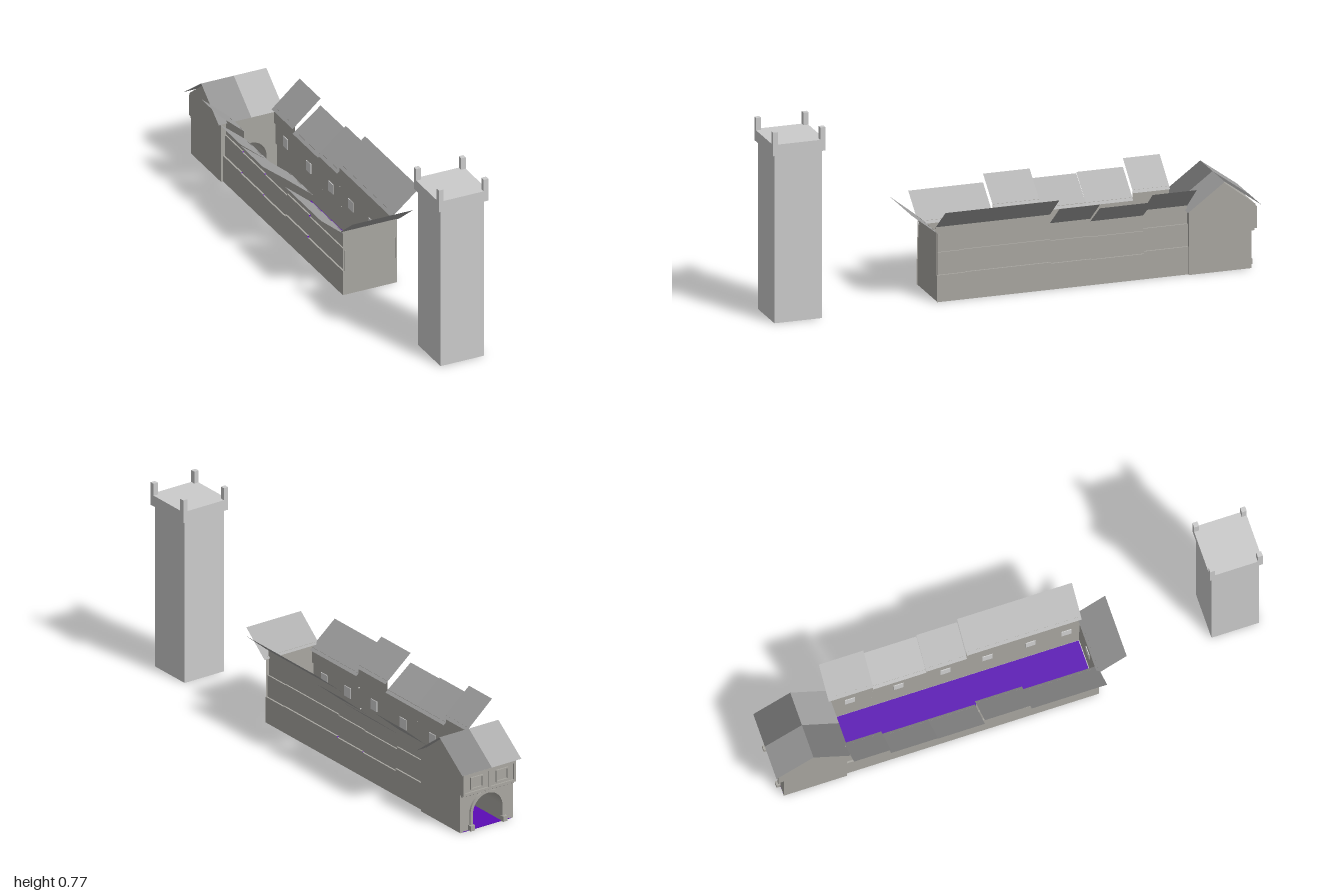
import * as THREE from 'three';

export function createModel() {
  const model = new THREE.Group();
  const mat = (name, color, extra = {}) => {
    const m = new THREE.MeshStandardMaterial({ color, side: THREE.DoubleSide, ...extra });
    m.name = name;
    return m;
  };
  const wall = mat('warm grey wall', 0xa9a7a1);
  const roof = mat('mid grey roof', 0xa0a0a0);
  const darkRoof = mat('dark grey roof', 0x757575);
  const stone = mat('pale tower stone', 0xcbcbcb, { flatShading: true });
  const paving = mat('purple paving', 0x5b0cb5);
  const pane = mat('light window', 0xd2d2d2);

  const add = (name, geo, material, parent = model) => {
    const mesh = new THREE.Mesh(geo, material);
    mesh.name = name;
    parent.add(mesh);
    return mesh;
  };
  // Box given by its limits on each axis
  const box = (name, material, x0, x1, y0, y1, z0, z1, parent) => {
    const g = new THREE.BoxGeometry(x1 - x0, y1 - y0, z1 - z0);
    g.translate((x0 + x1) / 2, (y0 + y1) / 2, (z0 + z1) / 2);
    return add(name, g, material, parent);
  };
  // Flat four-cornered sheet
  const sheet = (name, material, a, b, c, d, parent) => {
    const g = new THREE.BufferGeometry();
    g.setAttribute('position', new THREE.Float32BufferAttribute([a, b, c, a, c, d].flat(), 3));
    g.computeVertexNormals();
    return add(name, g, material, parent);
  };

  // Free-standing tower with open base, cap and corner posts
  const tower = new THREE.Group();
  tower.name = 'tower';
  model.add(tower);
  const shaft = new THREE.CylinderGeometry(Math.SQRT1_2, Math.SQRT1_2, 0.68, 4, 1, true);
  shaft.rotateY(Math.PI / 4);
  shaft.scale(0.187, 1, 0.193);
  shaft.translate(0.056, 0.34, 0.893);
  add('towerShaft', shaft, stone, tower);
  box('towerCap', stone, -0.05, 0.163, 0.68, 0.725, 0.787, 1, tower);
  for (const x of [-0.05, 0.143])
    for (const z of [0.787, 0.98])
      box('cornerPost', stone, x, x + 0.02, 0.725, 0.775, z, z + 0.02, tower);

  // Street floor
  box('streetFloor', paving, -0.114, 0.114, 0, 0.003, -0.965, 0.309);

  // House rows: jettied walls and a roof rising away from the street
  // each house: [front z, back z, eave height, roof top, first floor height]
  const rows = {
    1: [
      [0.315, 0.2, 0.29, 0.39, 0.108], [0.2, -0.15, 0.29, 0.39, 0.11],
      [-0.15, -0.315, 0.255, 0.355, 0.105], [-0.315, -0.53, 0.245, 0.34, 0.102],
      [-0.53, -0.71, 0.265, 0.37, 0.112],
    ],
    '-1': [
      [0.315, 0.01, 0.25, 0.35, 0.105], [0.01, -0.18, 0.285, 0.385, 0.112],
      [-0.18, -0.37, 0.25, 0.345, 0.104], [-0.37, -0.56, 0.25, 0.35, 0.108],
      [-0.56, -0.71, 0.28, 0.385, 0.112],
    ],
  };
  for (const s of [1, -1]) {
    const row = new THREE.Group();
    row.name = s > 0 ? 'leftHouseRow' : 'rightHouseRow';
    model.add(row);
    for (const [z0, z1, eave, top, floor] of rows[s]) {
      const strip = (name, m, xa, ya, xb, yb) => sheet(name, m,
        [s * xa, ya, z0], [s * xa, ya, z1], [s * xb, yb, z1], [s * xb, yb, z0], row);
      const up = floor + 0.09;
      strip('lowerWall', wall, 0.116, 0, 0.116, floor);
      strip('jetty', wall, 0.116, floor, 0.109, floor);
      strip('middleWall', wall, 0.109, floor, 0.109, up);
      strip('upperJetty', wall, 0.109, up, 0.103, up);
      strip('upperWall', wall, 0.103, up, 0.103, eave + 0.01);
      strip('houseRoof', roof, 0.092, eave, 0.212, top);
      // Windows facing the street
      const n = z0 - z1 > 0.28 ? 2 : 1;
      for (let i = 0; i < n; i++) {
        const z = z0 + (z1 - z0) * (i + 0.5) / n;
        const xs = [s * 0.105, s * 0.108].sort((a, b) => a - b);
        box('houseWindow', pane, xs[0], xs[1], floor + 0.025, floor + 0.068, z - 0.02, z + 0.02, row);
      }
    }
  }

  // House closing the street at the front
  sheet('endWall', wall, [-0.116, 0, 0.312], [0.116, 0, 0.312], [0.116, 0.278, 0.312], [-0.116, 0.278, 0.312]);
  sheet('endRoof', roof, [-0.13, 0.27, 0.303], [0.13, 0.27, 0.303], [0.13, 0.365, 0.422], [-0.13, 0.365, 0.422]);
  box('endWindow', pane, -0.02, 0.02, 0.14, 0.185, 0.306, 0.309);

  // Gatehouse
  const gate = new THREE.Group();
  gate.name = 'gatehouse';
  model.add(gate);
  const arch = new THREE.Shape();
  arch.moveTo(-0.125, 0);
  arch.lineTo(-0.07, 0);
  arch.lineTo(-0.07, 0.07);
  arch.absarc(0, 0.07, 0.07, Math.PI, 0, true);
  arch.lineTo(0.07, 0);
  arch.lineTo(0.125, 0);
  arch.lineTo(0.125, 0.16);
  arch.lineTo(-0.125, 0.16);
  const passage = new THREE.ExtrudeGeometry(arch, { depth: 0.255, bevelEnabled: false, curveSegments: 16 });
  passage.translate(0, 0, -0.965);
  add('archedPassage', passage, wall, gate);

  // Upper storey with gables on both sides
  const gable = new THREE.Shape();
  gable.moveTo(0.71, 0.16);
  gable.lineTo(0.98, 0.16);
  gable.lineTo(0.98, 0.258);
  gable.lineTo(0.85, 0.36);
  gable.lineTo(0.71, 0.255);
  const storey = new THREE.ExtrudeGeometry(gable, { depth: 0.25, bevelEnabled: false });
  storey.rotateY(Math.PI / 2);
  storey.translate(-0.125, 0, 0);
  add('upperStorey', storey, wall, gate);

  // Two-tone roof, a half on each side of the middle
  for (const s of [1, -1])
    for (const back of [true, false]) {
      const z = back ? -1 : -0.7;
      sheet('gateRoof', back === s > 0 ? darkRoof : roof,
        [0, 0.256, z], [s * 0.14, 0.256, z], [s * 0.14, 0.366, -0.85], [0, 0.366, -0.85], gate);
    }

  // Moulding around the arch, with feet
  const trim = new THREE.Shape();
  trim.moveTo(-0.082, 0);
  trim.lineTo(-0.07, 0);
  trim.lineTo(-0.07, 0.07);
  trim.absarc(0, 0.07, 0.07, Math.PI, 0, true);
  trim.lineTo(0.07, 0);
  trim.lineTo(0.082, 0);
  trim.lineTo(0.082, 0.07);
  trim.absarc(0, 0.07, 0.082, 0, Math.PI, false);
  const moulding = new THREE.ExtrudeGeometry(trim, { depth: 0.008, bevelEnabled: false, curveSegments: 16 });
  moulding.translate(0, 0, -0.973);
  add('archMoulding', moulding, wall, gate);
  for (const s of [1, -1])
    box('archFoot', wall, s * 0.077 - 0.01, s * 0.077 + 0.01, 0.003, 0.025, -0.982, -0.965, gate);

  // Dentils below the overhang
  for (let i = 0; i < 14; i++) {
    const x = -0.117 + i * 0.018;
    box('dentil', wall, x - 0.005, x + 0.005, 0.151, 0.16, -0.977, -0.965, gate);
  }

  // Timber frame and framed windows on the back of the upper storey
  const rail = (x0, x1, y0, y1) => box('frameRail', wall, x0, x1, y0, y1, -0.986, -0.98, gate);
  rail(-0.125, 0.125, 0.16, 0.17);
  rail(-0.125, 0.125, 0.238, 0.248);
  for (const x of [-0.12, 0, 0.12]) rail(x - 0.005, x + 0.005, 0.17, 0.238);
  for (const c of [-0.06, 0.06]) {
    for (const s of [1, -1]) {
      rail(c + s * 0.027 - 0.002, c + s * 0.027 + 0.002, 0.18, 0.23);
      const y = 0.205 + s * 0.023;
      rail(c - 0.025, c + 0.025, y - 0.002, y + 0.002);
    }
  }
  return model;
}
